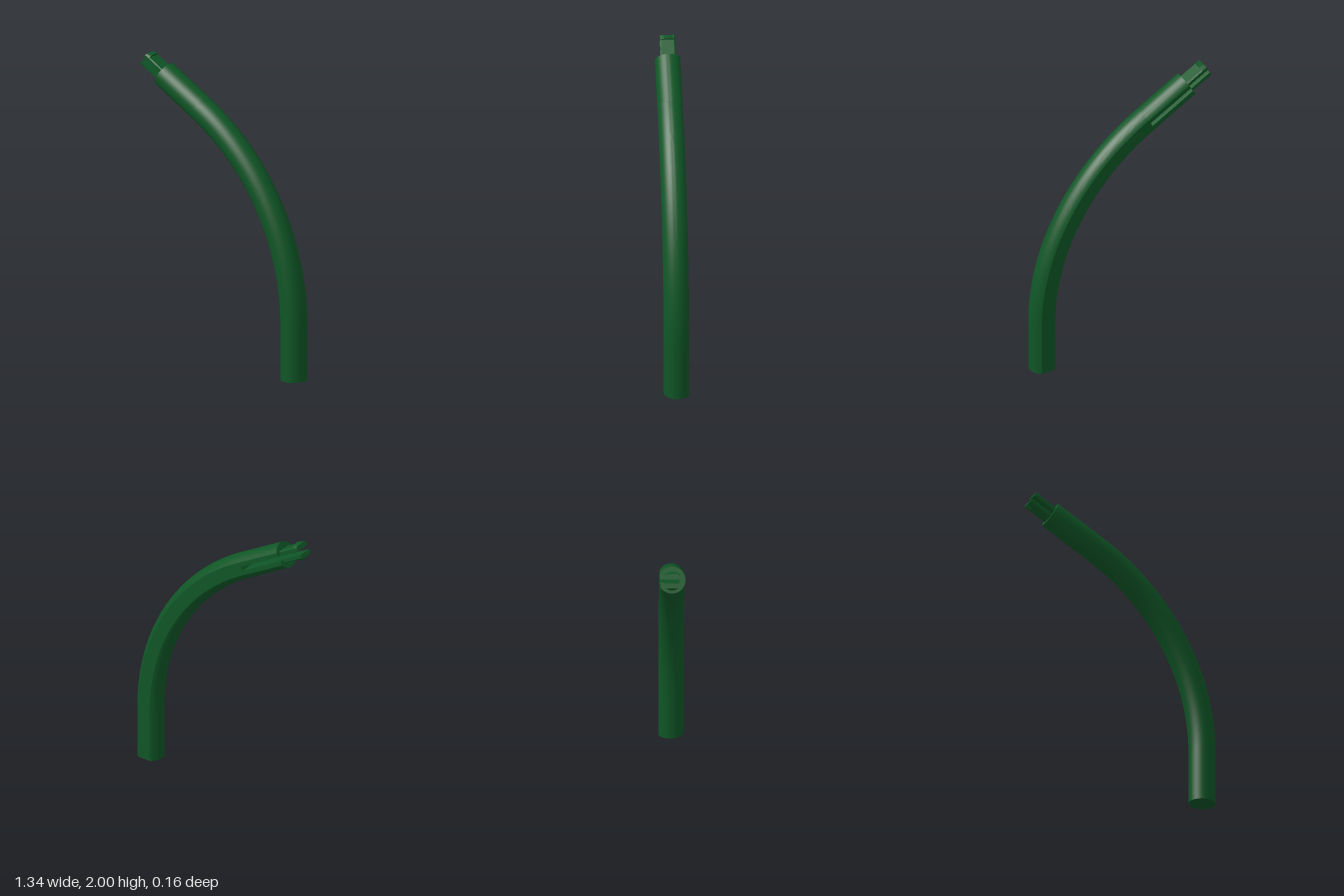
import * as THREE from 'three';
import { toCreasedNormals } from 'three/addons/utils/BufferGeometryUtils.js';

const STRAIGHT = 0.37;            // straight length at each end
const BEND = 1.524;               // radius of the bend's centre line
const TURN = Math.PI / 3;         // the bend turns 60 degrees
const CENTRE = [-0.947, 0.37];    // centre of the bend
const TOTAL = STRAIGHT * 2 + BEND * TURN;
const Z0 = -0.006;                // depth of the tube axis
const R = 0.0885, FLAT = 0.0765;  // tube radius, distance of the flat back
const GAP = 0.015, SLOT = 0.35;   // half width and length of the slot

// Extrude a cross-section (x = toward inside of bend, y = depth) and bend it along the path
function sweep(shape, from, to, steps, adjust) {
  const geo = new THREE.ExtrudeGeometry(shape, { depth: to - from, steps, bevelEnabled: false });
  const p = geo.attributes.position;
  for (let i = 0; i < p.count; i++) {
    const s = p.getZ(i) + from;
    const lat = adjust ? adjust(p.getX(i), s) : p.getX(i);
    const a = THREE.MathUtils.clamp((s - STRAIGHT) / BEND, 0, TURN);
    const t = s - STRAIGHT - a * BEND;   // travel along the straight parts
    const r = BEND - lat;
    p.setXYZ(i,
      CENTRE[0] + r * Math.cos(a) - t * Math.sin(a),
      CENTRE[1] + r * Math.sin(a) + t * Math.cos(a),
      p.getY(i) + Z0);
  }
  geo.computeVertexNormals();
  return toCreasedNormals(geo, 0.5);
}

// Round section with a flat back, optionally notched from the back
function tubeSection(notched) {
  const pts = [];
  const a0 = -Math.asin(FLAT / R);
  const a1 = Math.PI - a0;
  for (let i = 0; i <= 40; i++) {
    const a = a0 + (a1 - a0) * i / 40;
    pts.push(new THREE.Vector2(R * Math.cos(a), R * Math.sin(a)));
  }
  if (notched) {
    for (const [x, y] of [[-GAP, -FLAT], [-GAP, 0.05], [GAP, 0.05], [GAP, -FLAT]])
      pts.push(new THREE.Vector2(x, y));
  }
  return new THREE.Shape(pts);
}

// One half of a split pin, with flat sides; side is +1 or -1
function prongSection(side, limit) {
  const r = 0.0625, w = 0.05;
  const pts = [new THREE.Vector2(side * GAP, -w)];
  for (let i = 0; i <= 12; i++) {
    const z = -w + 2 * w * i / 12;
    pts.push(new THREE.Vector2(side * Math.min(limit, Math.sqrt(r * r - z * z)), z));
  }
  pts.push(new THREE.Vector2(side * GAP, w));
  return new THREE.Shape(pts);
}

export function createModel() {
  const model = new THREE.Group();
  const green = new THREE.MeshStandardMaterial({ color: 0x0f5626 });
  green.name = 'dark green';

  const add = (name, geo, parent = model) => {
    const mesh = new THREE.Mesh(geo, green);
    mesh.name = name;
    parent.add(mesh);
  };

  // Bent tube and its slotted end
  add('bentTube', sweep(tubeSection(false), 0, TOTAL - SLOT, 48));
  add('slottedEnd', sweep(tubeSection(true), TOTAL - SLOT, TOTAL, 1));

  // Split pin: two prongs with bevelled hooks
  for (const side of [1, -1]) {
    const prong = new THREE.Group();
    prong.name = side > 0 ? 'lowerProng' : 'upperProng';
    add('prongShaft', sweep(prongSection(side, 0.044), TOTAL - 0.01, TOTAL + 0.132, 1), prong);
    const bevel = (lat, s) => s > TOTAL + 0.15 ? side * Math.min(Math.abs(lat), 0.046) : lat;
    add('prongHook', sweep(prongSection(side, 0.0625), TOTAL + 0.13, TOTAL + 0.164, 1, bevel), prong);
    model.add(prong);
  }
  return model;
}
